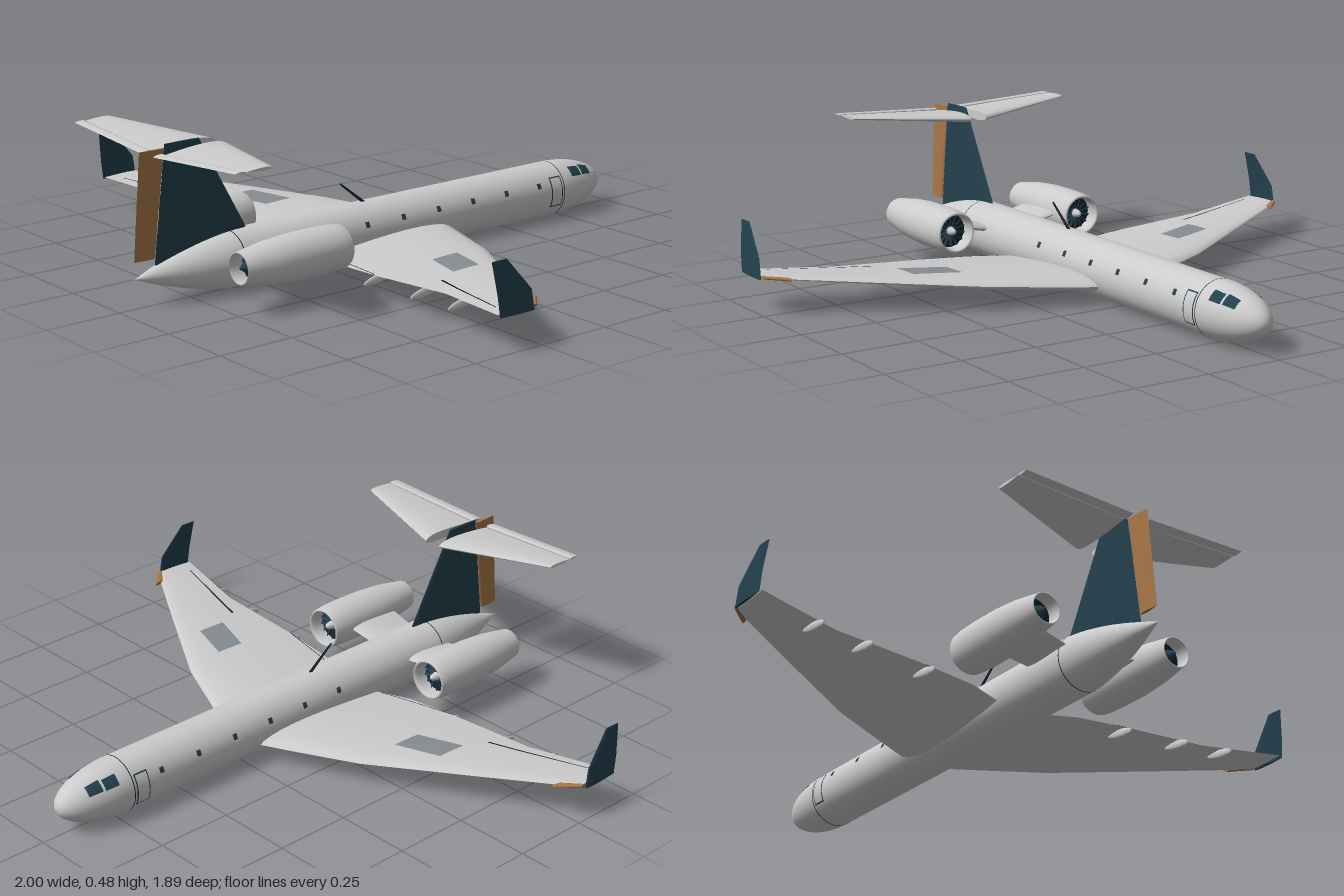
import * as THREE from 'three';
import { toCreasedNormals } from 'three/addons/utils/BufferGeometryUtils.js';

const mat = (color, extra = {}) => new THREE.MeshStandardMaterial({ color, ...extra });
const grey = mat(0xcccccc);
const greyThin = mat(0xcccccc, { side: THREE.DoubleSide });
const teal = mat(0x23404e);
const dark = mat(0x14222b, { side: THREE.DoubleSide });
const brown = mat(0xa87748);
const walkway = mat(0x868d92, { side: THREE.DoubleSide });

const AXIS_Y = 0.09, R = 0.09;

// Airfoil half thickness (max 0.5) along the chord, 0..1
const foil = c => 5 * (0.2969 * Math.sqrt(c) - 0.126 * c - 0.3516 * c * c + 0.2843 * c ** 3 - 0.1036 * c ** 4);

// Fuselage radius along z: elliptic nose, straight cabin, ogive tail
function bodyRadius(z) {
  if (z < -0.72) {
    const t = Math.max(0, (z + 0.945) / 0.225);
    return R * Math.sqrt(1 - (1 - t) ** 2);
  }
  if (z > 0.58) return R * (1 - (1 - Math.max(0, (0.945 - z) / 0.365)) ** 1.6);
  return R;
}

function mesh(group, name, geometry, material) {
  const m = new THREE.Mesh(geometry, material);
  m.name = name;
  group.add(m);
  return m;
}

// Closed airfoil surface through sections { le, te, t }; thickness along axis
function surface(sections, axis) {
  const n = 12, ring = 2 * n, pos = [], idx = [];
  for (const { le, te, t } of sections) {
    const a = new THREE.Vector3(...le), b = new THREE.Vector3(...te);
    for (let i = 0; i < ring; i++) {
      const c = (1 - Math.cos((Math.PI * i) / n)) / 2;
      const p = a.clone().lerp(b, c);
      p[axis] += (i <= n ? 1 : -1) * foil(c) * t;
      pos.push(p.x, p.y, p.z);
    }
  }
  const last = (sections.length - 1) * ring;
  for (let s = 0; s < last; s += ring)
    for (let i = 0; i < ring; i++) {
      const j = (i + 1) % ring;
      idx.push(s + i, s + j, s + ring + i, s + j, s + ring + j, s + ring + i);
    }
  for (let i = 1; i < ring - 1; i++) idx.push(0, i + 1, i, last, last + i, last + i + 1);
  // Turn every face outward
  let volume = 0;
  const v = k => new THREE.Vector3().fromArray(pos, k * 3);
  for (let k = 0; k < idx.length; k += 3) volume += v(idx[k]).dot(v(idx[k + 1]).cross(v(idx[k + 2])));
  if (volume < 0) idx.reverse();
  const g = new THREE.BufferGeometry();
  g.setAttribute('position', new THREE.Float32BufferAttribute(pos, 3));
  g.setIndex(idx);
  return toCreasedNormals(g, 0.6);
}

// Revolved profile of [radius, z] pairs around the z axis
function revolve(profile, segments = 40, start = 0, length = Math.PI * 2) {
  const pts = profile.map(([r, z]) => new THREE.Vector2(r, z));
  return new THREE.LatheGeometry(pts, segments, start, length).rotateX(Math.PI / 2);
}

// Patch lying on the fuselage skin; angles in degrees from the keel towards side s
function skinPatch(group, name, z0, z1, a0, a1, s, material, lift = 0.0012) {
  const profile = [];
  for (let i = 0; i <= 6; i++) {
    const z = z0 + ((z1 - z0) * i) / 6;
    profile.push([bodyRadius(z) + lift, z]);
  }
  const rad = Math.PI / 180;
  const start = (s > 0 ? a0 : -a1) * rad;
  const segments = Math.max(4, Math.round((a1 - a0) / 6));
  mesh(group, name, revolve(profile, segments, start, (a1 - a0) * rad), material).position.y = AXIS_Y;
}

// Wing stations: x, leading z, trailing z, y, thickness
const WING = [
  [0, -0.24, 0.28, 0.056, 0.055], [0.09, -0.21, 0.3, 0.06, 0.055], [0.2, -0.167, 0.335, 0.066, 0.048],
  [0.4, -0.085, 0.347, 0.078, 0.038], [0.7, 0.09, 0.347, 0.097, 0.022], [0.985, 0.26, 0.405, 0.115, 0.009],
];

function wingY(x, z, side) {
  let k = 1;
  while (k < WING.length - 1 && WING[k][0] < x) k++;
  const a = WING[k - 1], b = WING[k], f = (x - a[0]) / (b[0] - a[0]);
  const [, le, te, y, t] = a.map((q, i) => q + (b[i] - q) * f);
  return y + side * foil(THREE.MathUtils.clamp((z - le) / (te - le), 0, 1)) * t;
}

// Four-cornered [x, z] patch draped over the wing's top
function wingPatch(corners, s, lift = 0.002) {
  const g = new THREE.PlaneGeometry(1, 1, 10, 4), p = g.attributes.position;
  const [a, b, c, d] = corners.map(q => new THREE.Vector2(...q));
  for (let i = 0; i < p.count; i++) {
    const u = p.getX(i) + 0.5, w = p.getY(i) + 0.5;
    const q = a.clone().lerp(b, u).lerp(d.clone().lerp(c, u), w);
    p.setXYZ(i, s * q.x, wingY(q.x, q.y, 1) + lift, q.y);
  }
  g.computeVertexNormals();
  return g;
}

function buildFuselage(root) {
  const profile = [];
  for (let i = 0; i <= 20; i++) profile.push(-0.72 - 0.225 * Math.cos((i / 20) * Math.PI / 2));
  for (let i = 0; i <= 16; i++) profile.push(0.58 + (0.365 * i) / 16);
  mesh(root, 'fuselage', revolve(profile.map(z => [bodyRadius(z), z]), 48), grey).position.y = AXIS_Y;
  for (const z of [-0.72, 0.6]) skinPatch(root, 'skinSeam', z, z + 0.003, 0, 360, 1, dark, 0.0006);

  for (const s of [1, -1]) {
    for (let i = 0; i < 6; i++) {
      const z = 0.127 - i * 0.147;
      skinPatch(root, 'cabinWindow', z - 0.008, z + 0.008, 109, 121, s, teal);
    }
    skinPatch(root, 'cockpitSideWindow', -0.812, -0.765, 121, 146, s, teal);
    skinPatch(root, 'cockpitFrontWindow', -0.866, -0.82, 122, 150, s, teal);
    skinPatch(root, 'doorFrame', -0.71, -0.66, 62, 129, s, teal, 0.0007);
    skinPatch(root, 'door', -0.706, -0.664, 65, 126, s, grey, 0.0014);
  }

  // Raked aerial on the spine
  const a = new THREE.Vector3(0, 0.175, 0.075), b = new THREE.Vector3(0, 0.25, 0.17);
  const aerial = mesh(root, 'aerial', new THREE.CylinderGeometry(0.003, 0.005, a.distanceTo(b), 8), dark);
  aerial.position.copy(a).lerp(b, 0.5);
  aerial.quaternion.setFromUnitVectors(new THREE.Vector3(0, 1, 0), b.clone().sub(a).normalize());
}

function buildWing(root, s) {
  const sections = WING.map(([x, le, te, y, t]) => ({ le: [s * x, y, le], te: [s * x, y, te], t }));
  mesh(root, 'wing', surface(sections, 'y'), grey);
  mesh(root, 'wingPanel', wingPatch([[0.415, 0.05], [0.565, 0.096], [0.565, 0.198], [0.415, 0.15]], s), walkway);
  mesh(root, 'flapGap', wingPatch([[0.6, 0.27], [0.93, 0.36], [0.93, 0.363], [0.6, 0.278]], s), dark);
  mesh(root, 'flapSeam', wingPatch([[0.1, 0.297], [0.38, 0.343], [0.38, 0.346], [0.1, 0.3]], s), dark);

  // Tip fence and its leading fillet
  mesh(root, 'winglet', surface([
    { le: [s * 0.994, 0.108, 0.275], te: [s * 0.994, 0.108, 0.405], t: 0.01 },
    { le: [s * 0.992, 0.17, 0.285], te: [s * 0.992, 0.17, 0.413], t: 0.008 },
    { le: [s * 0.98, 0.27, 0.37], te: [s * 0.98, 0.27, 0.426], t: 0.004 },
  ], 'x'), teal);
  mesh(root, 'wingletFillet', surface([
    { le: [s * 0.925, 0.113, 0.2], te: [s * 0.93, 0.113, 0.245], t: 0.01 },
    { le: [s * 0.99, 0.116, 0.262], te: [s * 0.99, 0.116, 0.29], t: 0.01 },
  ], 'y'), brown);

  // Flap track fairings hanging under the trailing edge
  for (const [x, z] of [[0.375, 0.325], [0.6, 0.335], [0.775, 0.345]]) {
    const fairing = mesh(root, 'flapTrackFairing', new THREE.SphereGeometry(1, 12, 8), grey);
    fairing.scale.set(0.006, 0.014, 0.06);
    fairing.rotation.x = 0.15;
    fairing.position.set(s * x, wingY(x, z, -1) - 0.012, z);
  }
}

function buildEngine(root, s) {
  const engine = new THREE.Group();
  engine.name = 'engine';
  engine.position.set(s * 0.245, 0.142, 0);
  root.add(engine);
  mesh(engine, 'nacelle', revolve([
    [0.056, 0.42], [0.056, 0.38], [0.059, 0.368], [0.063, 0.364], [0.067, 0.37], [0.071, 0.4], [0.073, 0.46],
    [0.072, 0.56], [0.065, 0.65], [0.049, 0.746], [0.046, 0.746], [0.05, 0.69],
  ]), greyThin);
  mesh(engine, 'fanDisc', new THREE.CircleGeometry(0.056, 32), dark).position.z = 0.415;
  for (let i = 0; i < 14; i++) {
    const blade = new THREE.BoxGeometry(0.009, 0.04, 0.002).rotateY(0.6).translate(0, 0.034, 0);
    const m = mesh(engine, 'fanBlade', blade, teal);
    m.rotation.z = (i / 14) * Math.PI * 2;
    m.position.z = 0.408;
  }
  mesh(engine, 'spinner', revolve([[0, 0.378], [0.01, 0.386], [0.016, 0.412]], 20), grey);
  mesh(engine, 'nozzleDisc', new THREE.CircleGeometry(0.05, 32), dark).position.z = 0.695;
  mesh(engine, 'exhaustCone', revolve([[0.026, 0.695], [0.017, 0.72], [0, 0.745]], 20), teal);
  mesh(root, 'pylon', surface([
    { le: [s * 0.07, 0.118, 0.445], te: [s * 0.07, 0.118, 0.628], t: 0.026 },
    { le: [s * 0.185, 0.142, 0.435], te: [s * 0.185, 0.142, 0.635], t: 0.026 },
  ], 'y'), grey);
}

function buildTail(root) {
  mesh(root, 'fin', surface([
    { le: [0, 0.12, 0.505], te: [0, 0.12, 0.872], t: 0.014 },
    { le: [0, 0.482, 0.705], te: [0, 0.482, 0.828], t: 0.01 },
  ], 'x'), teal);
  mesh(root, 'rudder', surface([
    { le: [0, 0.142, 0.872], te: [0, 0.142, 0.944], t: 0.01 },
    { le: [0, 0.47, 0.83], te: [0, 0.47, 0.917], t: 0.008 },
  ], 'x'), brown);
  for (const s of [1, -1]) {
    mesh(root, 'tailplane', surface([
      { le: [s * 0.03, 0.457, 0.625], te: [s * 0.03, 0.457, 0.848], t: 0.03 },
      { le: [s * 0.412, 0.479, 0.742], te: [s * 0.412, 0.479, 0.835], t: 0.01 },
    ], 'y'), grey);
    mesh(root, 'elevator', surface([
      { le: [s * 0.03, 0.457, 0.852], te: [s * 0.03, 0.457, 0.89], t: 0.012 },
      { le: [s * 0.412, 0.479, 0.838], te: [s * 0.412, 0.479, 0.874], t: 0.007 },
    ], 'y'), grey);
  }
}

export function createModel() {
  const root = new THREE.Group();
  root.name = 'airplane';
  buildFuselage(root);
  for (const s of [1, -1]) {
    buildWing(root, s);
    buildEngine(root, s);
  }
  buildTail(root);
  return root;
}
